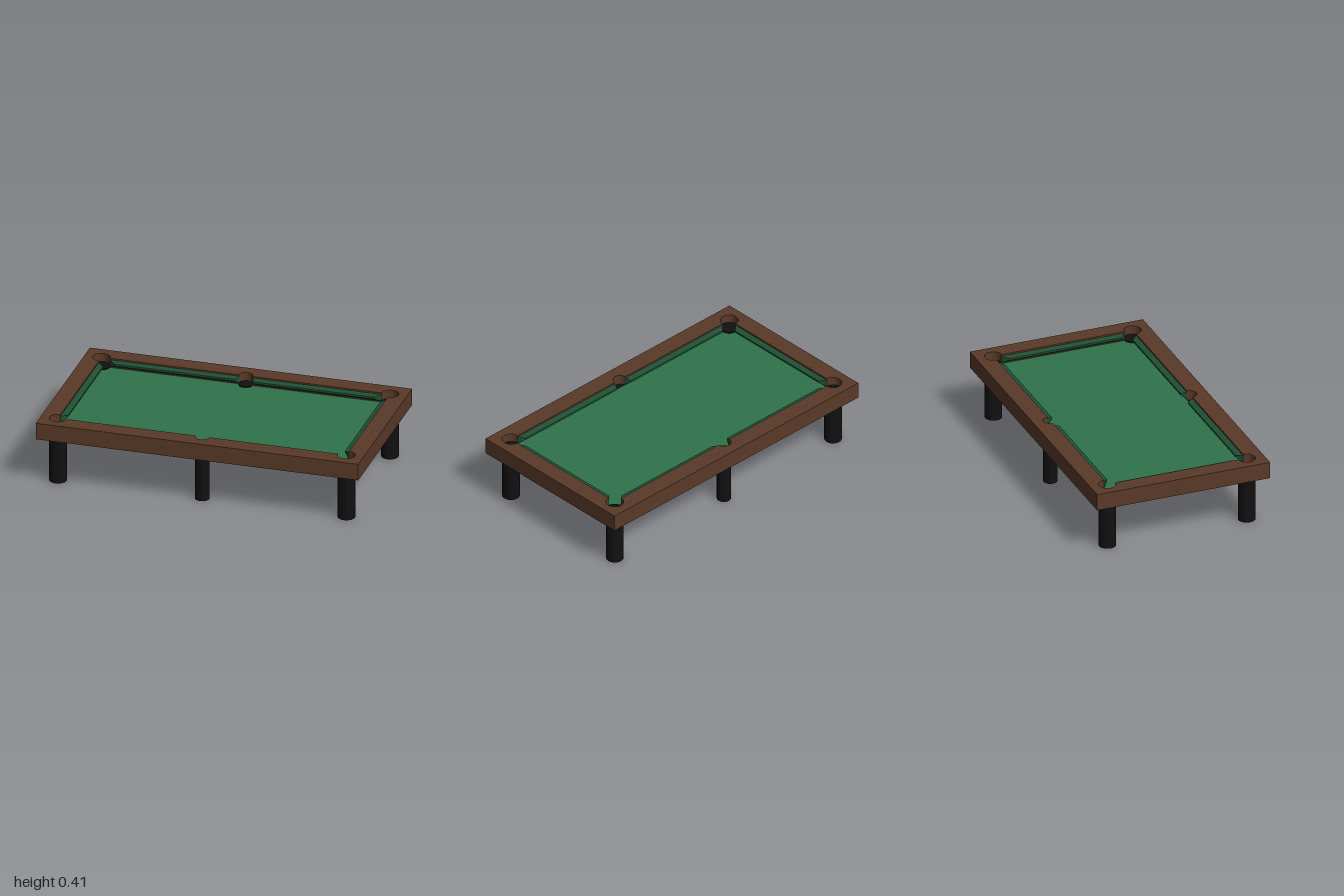
import * as THREE from 'three';
import { ConvexGeometry } from 'three/addons/geometries/ConvexGeometry.js';

const PX = 0.895, PZ = 0.447;          // inner edge of the rails = pocket centres
const CORNER_R = 0.053, SIDE_R = 0.043; // pocket radii
const BED_TOP = 0.345, RIM_BOTTOM = 0.3, RIM_TOP = 0.405;

export function createModel() {
  const table = new THREE.Group();
  table.name = 'poolTable';
  const material = (color) => new THREE.MeshStandardMaterial({ color });
  const wood = material(0x5a3a28);
  const cloth = material(0x2f734b);
  const cushionCloth = material(0x1f5034);
  const black = material(0x111111);

  const add = (name, geometry, mat, x = 0, y = 0, z = 0) => {
    const mesh = new THREE.Mesh(geometry, mat);
    mesh.name = name;
    mesh.position.set(x, y, z);
    table.add(mesh);
    return mesh;
  };

  // Wooden rim: rectangle with an opening that bulges round the six pockets
  const rim = new THREE.Shape();
  rim.moveTo(-1, -0.555).lineTo(1, -0.555).lineTo(1, 0.555).lineTo(-1, 0.555).closePath();
  const opening = new THREE.Path();
  const q = Math.PI / 2;
  opening.moveTo(-PX + CORNER_R, -PZ);
  opening.lineTo(-SIDE_R, -PZ);
  opening.absarc(0, -PZ, SIDE_R, 2 * q, 4 * q, false);
  opening.lineTo(PX - CORNER_R, -PZ);
  opening.absarc(PX, -PZ, CORNER_R, 2 * q, 5 * q, false);
  opening.lineTo(PX, PZ - CORNER_R);
  opening.absarc(PX, PZ, CORNER_R, 3 * q, 6 * q, false);
  opening.lineTo(SIDE_R, PZ);
  opening.absarc(0, PZ, SIDE_R, 0, 2 * q, false);
  opening.lineTo(-PX + CORNER_R, PZ);
  opening.absarc(-PX, PZ, CORNER_R, 0, 3 * q, false);
  opening.lineTo(-PX, -PZ + CORNER_R);
  opening.absarc(-PX, -PZ, CORNER_R, q, 4 * q, false);
  rim.holes.push(opening);
  const rimGeometry = new THREE.ExtrudeGeometry(rim, {
    depth: RIM_TOP - RIM_BOTTOM, bevelEnabled: false, curveSegments: 24,
  });
  rimGeometry.rotateX(-Math.PI / 2);
  add('rim', rimGeometry, wood, 0, RIM_BOTTOM, 0);

  // Cloth-covered bed, showing slightly below the rim
  const bedBottom = 0.285;
  add('bed', new THREE.BoxGeometry(2 * PX, BED_TOP - bedBottom, 2 * PZ), cloth,
    0, (BED_TOP + bedBottom) / 2, 0);

  // Legs run up into the pockets and close them
  const leg = (name, x, z, radius, top) =>
    add(name, new THREE.CylinderGeometry(radius, radius, top, 32), black, x, top / 2, z);
  for (const z of [-PZ, PZ]) {
    for (const x of [-PX, PX]) leg('cornerLeg', x, z, CORNER_R - 0.0005, 0.352);
    leg('middleLeg', 0, z, SIDE_R - 0.0005, z < 0 ? 0.352 : 0.342);
  }

  // Cushions: wedge profile [distance from rail, height], ends cut back to the nose
  const profile = [[0, 0.395], [0.035, 0.387], [0.035, 0.375], [0, 0.352]];
  const cushion = (start, end, startCut, endCut) => {
    const points = [];
    for (const [out, y] of profile) {
      const t = out / 0.035;
      points.push(new THREE.Vector3(start + startCut * t, y, out));
      points.push(new THREE.Vector3(end - endCut * t, y, out));
    }
    return new ConvexGeometry(points);
  };
  const cornerEnd = PX - CORNER_R;
  for (const side of [0, 1]) {
    const turn = side * Math.PI;
    const s = side ? 1 : -1;
    add('longCushion', cushion(-cornerEnd, -SIDE_R, 0.035, 0.014), cushionCloth, 0, 0, s * PZ)
      .rotation.y = turn;
    add('longCushion', cushion(SIDE_R, cornerEnd, 0.014, 0.035), cushionCloth, 0, 0, s * PZ)
      .rotation.y = turn;
    const half = PZ - CORNER_R;
    add('endCushion', cushion(-half, half, 0.035, 0.035), cushionCloth, s * PX, 0, 0)
      .rotation.y = Math.PI / 2 + turn;
  }
  return table;
}
